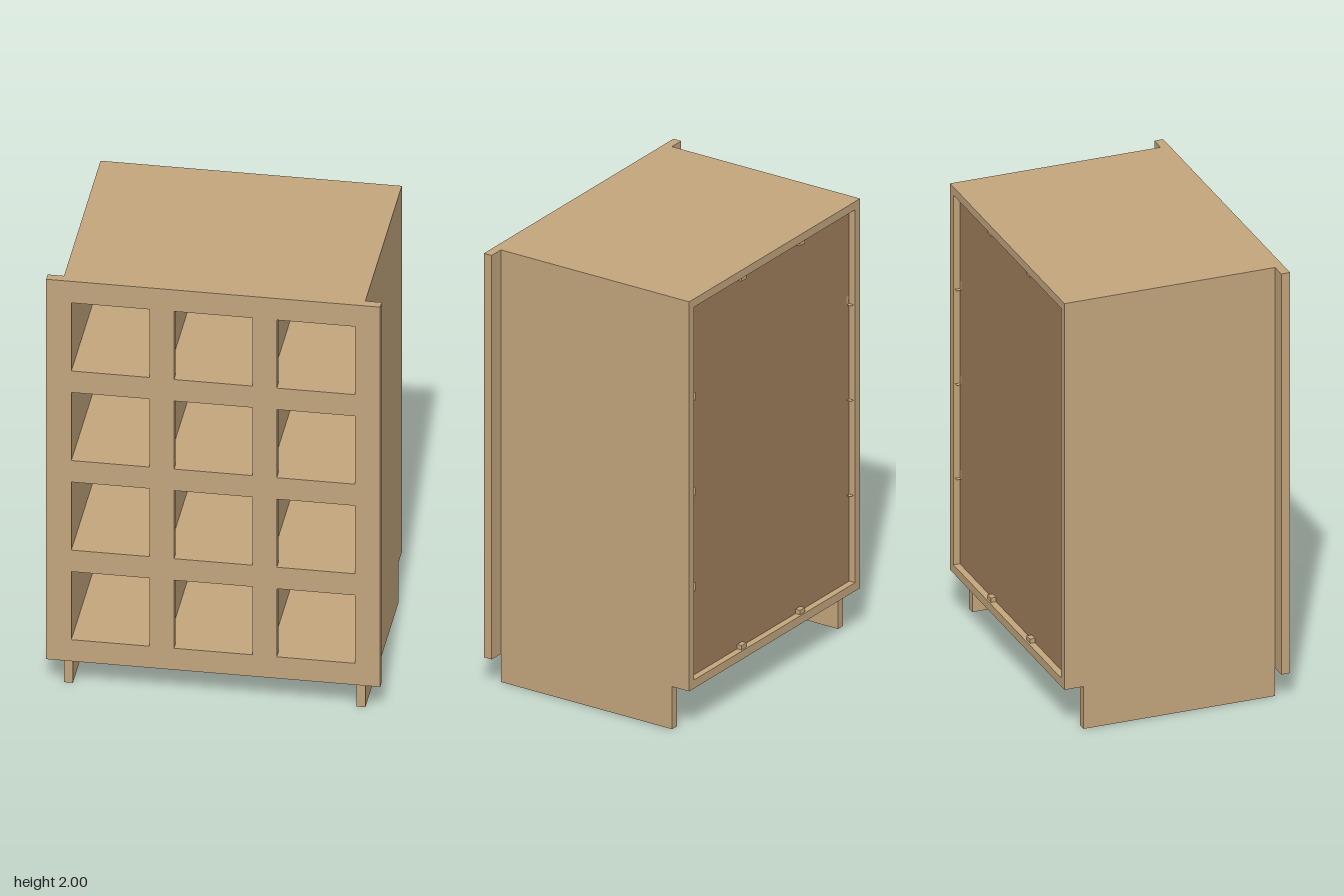
import * as THREE from 'three';

export function createModel() {
  const wood = new THREE.MeshStandardMaterial({ color: 0xc2a57d });
  wood.name = 'light wood';
  const backing = new THREE.MeshStandardMaterial({ color: 0x9e7e5b });
  backing.name = 'dark backing wood';

  const model = new THREE.Group();
  model.name = 'cubbyCabinet';

  const T = 0.038;                  // board thickness
  const W = 0.645, IN = W - T;      // outer and inner half width
  const BACK = -0.5, FRONT = 0.46;  // carcass depth
  const BASE = 0.197;               // underside of the bottom board
  const PANEL = -0.47;              // outer face of the recessed back panel
  const columns = [-0.44, 0, 0.44];
  const rows = [0.236, 0.677, 1.118, 1.559]; // floor of each row
  const HOLE = 0.335;

  function add(name, geometry, material = wood) {
    const mesh = new THREE.Mesh(geometry, material);
    mesh.name = name;
    model.add(mesh);
    return mesh;
  }

  // Box given by its minimum and maximum corners
  function board(name, x0, x1, y0, y1, z0, z1, material) {
    const mesh = add(name, new THREE.BoxGeometry(x1 - x0, y1 - y0, z1 - z0), material);
    mesh.position.set((x0 + x1) / 2, (y0 + y1) / 2, (z0 + z1) / 2);
  }

  function polygon(points, Type = THREE.Shape) {
    return new Type(points.map(([x, y]) => new THREE.Vector2(x, y)));
  }
  const rect = (x0, x1, y0, y1) => [[x0, y0], [x1, y0], [x1, y1], [x0, y1]];

  // Front frame with a grid of square openings
  const frame = polygon(rect(-0.715, 0.715, 0.13, 2));
  for (const x of columns) for (const y of rows) {
    frame.holes.push(polygon(rect(x - HOLE / 2, x + HOLE / 2, y, y + HOLE).reverse(), THREE.Path));
  }
  add('frontFrame', new THREE.ExtrudeGeometry(frame, { depth: 0.5 - FRONT, bevelEnabled: false }))
    .position.z = FRONT;

  // Side boards, notched at the lower back; shape x runs along -z
  const side = polygon([[-FRONT, 0], [0.413, 0], [0.413, BASE], [-BACK, BASE], [-BACK, 2], [-FRONT, 2]]);
  const sideGeometry = new THREE.ExtrudeGeometry(side, { depth: T, bevelEnabled: false });
  sideGeometry.rotateY(Math.PI / 2);
  add('leftSide', sideGeometry).position.x = IN;
  add('rightSide', sideGeometry).position.x = -W;

  // Top, bottom and back
  board('topBoard', -IN, IN, 2 - T, 2, BACK, FRONT);
  board('bottomBoard', -IN, IN, BASE, rows[0], BACK, FRONT);
  board('backPanel', -IN, IN, rows[0], 2 - T, PANEL, PANEL + 0.02, backing);

  // Inner shelves, with small tabs showing at the sides of the back
  const inner = PANEL + 0.02, tab = 0.02;
  for (const y of rows.slice(1)) {
    board('shelf', -IN, IN, y - T, y, inner, FRONT);
    for (const s of [-1, 1]) {
      const x = s * (IN - tab / 2);
      board('shelfTab', x - tab / 2, x + tab / 2, y - T, y, PANEL, -0.493);
    }
  }

  // Upright dividers, fitted between the shelves
  for (const x of [-0.22, 0.22]) {
    rows.forEach((y, i) => {
      const top = i < rows.length - 1 ? rows[i + 1] - T : 2 - T;
      board('divider', x - T / 2, x + T / 2, y, top, inner, FRONT);
    });
    for (const y of [rows[0], 2 - T - tab]) {
      board('dividerTab', x - T / 2, x + T / 2, y, y + tab, -0.493, PANEL);
    }
  }
  return model;
}
